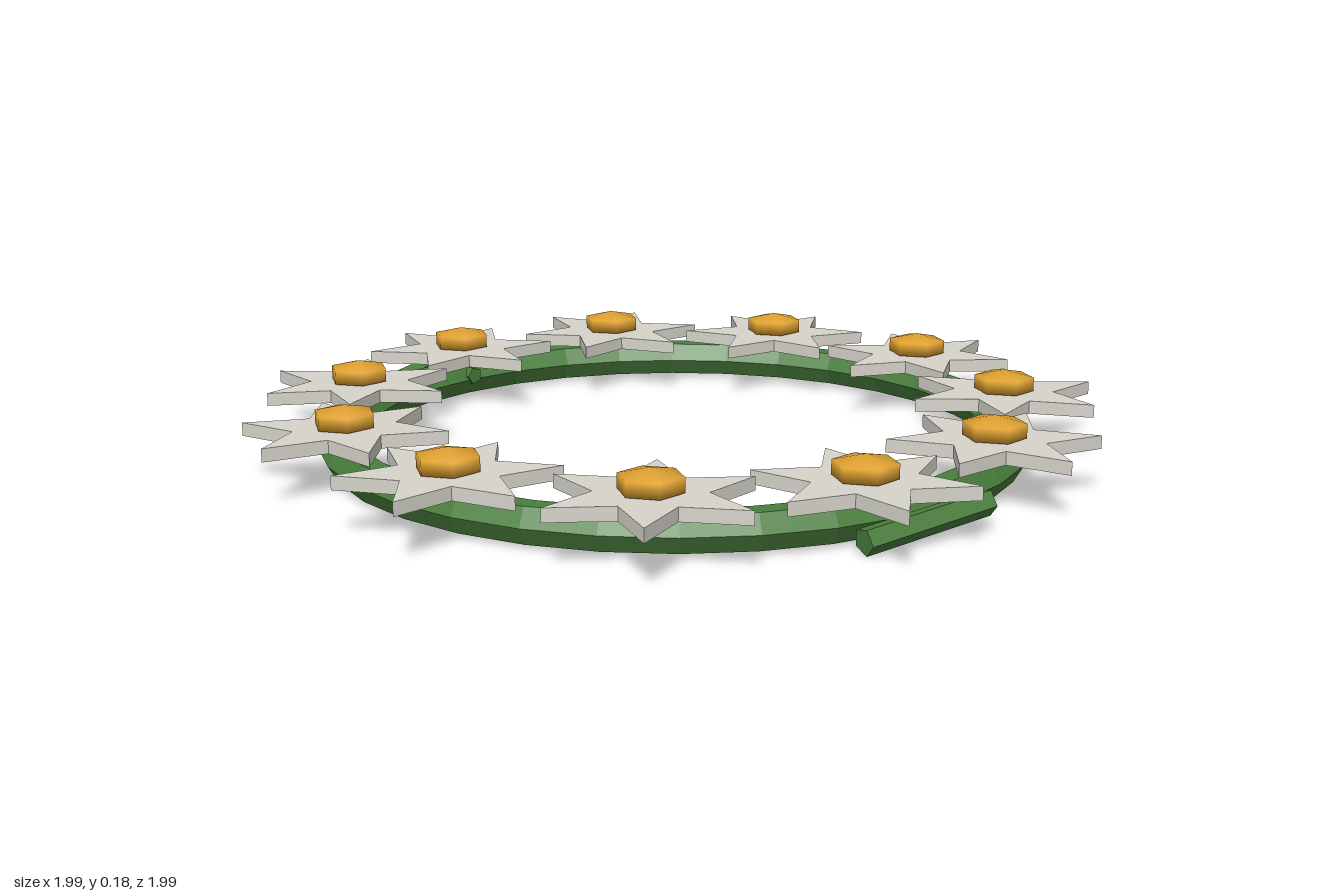
import * as THREE from 'three';

const green = new THREE.MeshStandardMaterial({ color: 0x4a7f3d, flatShading: true });
green.name = 'stemGreen';
const white = new THREE.MeshStandardMaterial({ color: 0xd6d4ca, flatShading: true });
white.name = 'petalWhite';
const gold = new THREE.MeshStandardMaterial({ color: 0xdea02f });
gold.name = 'centreGold';

const COUNT = 11, RADIUS = 0.777, POINTS = 6;

function part(name, geometry, material, parent) {
  const mesh = new THREE.Mesh(geometry, material);
  mesh.name = name;
  parent.add(mesh);
  return mesh;
}

// Flat star of petals, lying in the xz plane
function petalGeometry() {
  const shape = new THREE.Shape();
  for (let i = 0; i < POINTS * 2; i++) {
    const a = (i * Math.PI) / POINTS, r = i % 2 ? 0.115 : 0.235;
    const x = r * Math.cos(a), y = r * Math.sin(a);
    if (i) shape.lineTo(x, y);
    else shape.moveTo(x, y);
  }
  shape.closePath();
  const geo = new THREE.ExtrudeGeometry(shape, { depth: 0.03, bevelEnabled: false });
  return geo.rotateX(-Math.PI / 2);
}

// Six-sided bar between two points
function bar(name, from, to, radius, parent) {
  const a = new THREE.Vector3(...from), b = new THREE.Vector3(...to);
  const dir = b.clone().sub(a);
  const mesh = part(name, new THREE.CylinderGeometry(radius, radius, dir.length(), 5), green, parent);
  mesh.position.copy(a).add(b).multiplyScalar(0.5);
  mesh.quaternion.setFromUnitVectors(new THREE.Vector3(0, 1, 0), dir.normalize());
}

export function createModel() {
  const model = new THREE.Group();
  model.name = 'flowerCrown';
  const crown = new THREE.Group();
  crown.name = 'crown';
  crown.position.set(0.012, 0, 0.004);
  model.add(crown);

  // Stem ring
  const ring = part('stemRing', new THREE.TorusGeometry(RADIUS, 0.046, 6, 32).rotateX(-Math.PI / 2), green, crown);
  ring.position.y = 0.05;

  // Bent tie ends on both sides
  for (const s of [1, -1]) {
    const tie = new THREE.Group();
    tie.name = s > 0 ? 'leftTie' : 'rightTie';
    crown.add(tie);
    bar('tieArm', [s * 0.725, 0.06, 0], [s * 0.89, 0.062, 0], 0.022, tie);
    bar('tieTail', [s * 0.885, 0.062, -0.005], [s * 0.815, 0.031, 0.305], 0.03, tie);
  }

  // Flowers, each turned a little further than the last
  const petals = petalGeometry();
  const centre = new THREE.SphereGeometry(0.08, 6, 3).rotateY(Math.PI / 6).scale(1, 0.4, 1);
  for (let k = 0; k < COUNT; k++) {
    const a = Math.PI - ((k + 1) * 2 * Math.PI) / COUNT;
    const flower = new THREE.Group();
    flower.name = 'flower' + (k + 1);
    flower.position.set(RADIUS * Math.cos(a), 0.1, -RADIUS * Math.sin(a));
    crown.add(flower);
    part('petals', petals, white, flower).rotation.y = (-k * Math.PI) / 10;
    part('flowerCentre', centre, gold, flower).position.y = 0.048;
  }
  return model;
}
